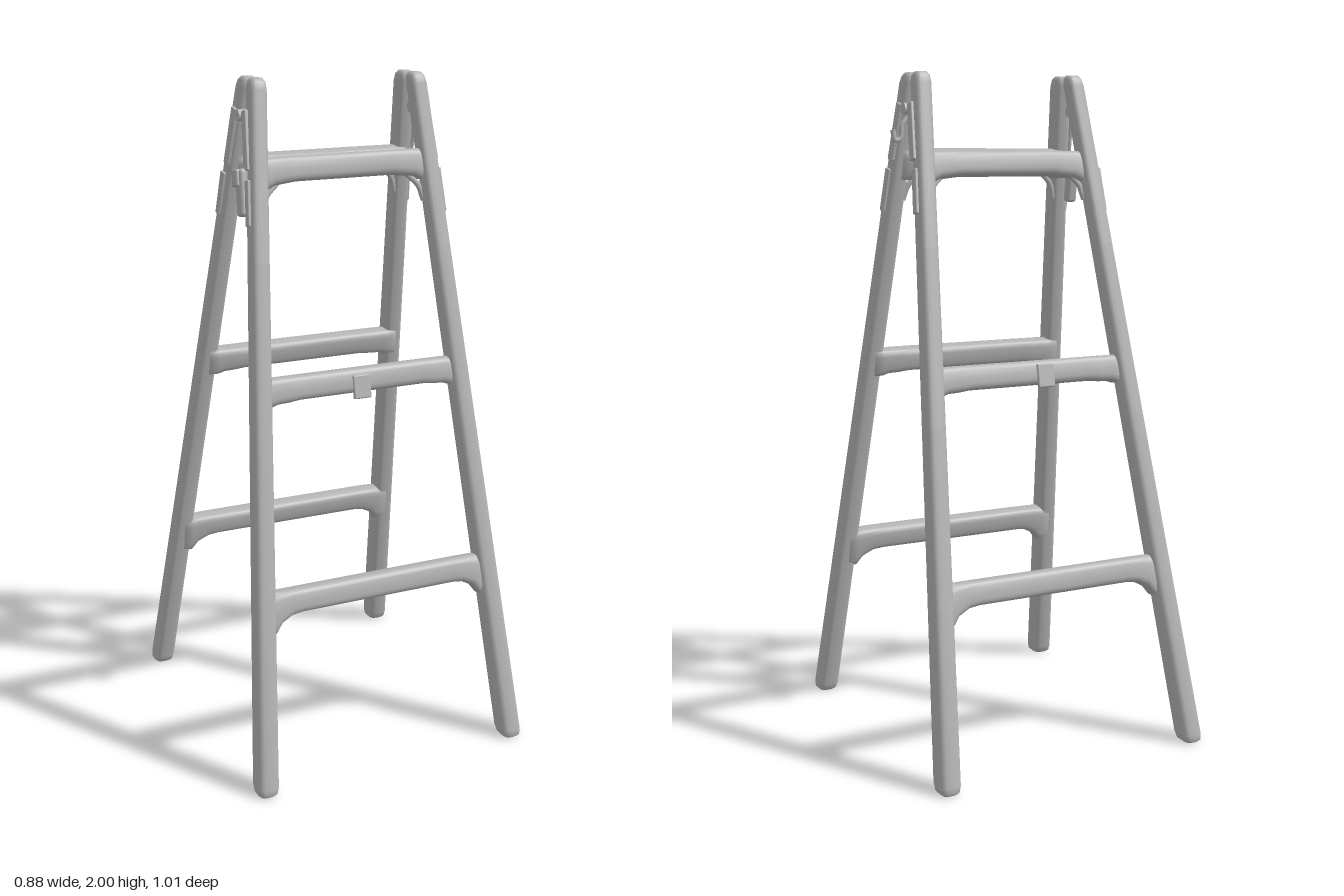
import * as THREE from 'three';
import { RoundedBoxGeometry } from 'three/addons/geometries/RoundedBoxGeometry.js';

const SIDES = 20;
const grey = new THREE.MeshStandardMaterial({ color: 0xb4b4b4 });
grey.name = 'worn grey';

// Smooth closed skin through rings of points; every ring is a rounded rectangle.
function loft(rings) {
  const pos = [], idx = [];
  const round = (t) => Math.sign(t) * Math.pow(Math.abs(t), 0.6);
  for (const { c, u, v } of rings) {
    for (let i = 0; i < SIDES; i++) {
      const a = (i / SIDES) * Math.PI * 2;
      const p = c.clone().addScaledVector(u, round(Math.cos(a))).addScaledVector(v, round(Math.sin(a)));
      pos.push(p.x, p.y, p.z);
    }
  }
  for (let r = 0; r < rings.length - 1; r++) {
    for (let i = 0; i < SIDES; i++) {
      const a = r * SIDES + i, b = r * SIDES + (i + 1) % SIDES;
      idx.push(a, b, a + SIDES, b, b + SIDES, a + SIDES);
    }
  }
  const last = (rings.length - 1) * SIDES;
  for (const [start, flip] of [[0, true], [last, false]]) {
    const c = rings[flip ? 0 : rings.length - 1].c;
    const mid = pos.length / 3;
    pos.push(c.x, c.y, c.z);
    for (let i = 0; i < SIDES; i++) {
      const a = start + i, b = start + (i + 1) % SIDES;
      flip ? idx.push(mid, b, a) : idx.push(mid, a, b);
    }
  }
  const g = new THREE.BufferGeometry();
  g.setAttribute('position', new THREE.Float32BufferAttribute(pos, 3));
  g.setIndex(idx);
  g.computeVertexNormals();
  return g;
}

const V = (x, y, z) => new THREE.Vector3(x, y, z);

// Centre line of a leg at height y; side is the sign of x, face the sign of z.
function legAt(side, face, y) {
  const t = y / 2;
  const x = side < 0 ? -0.412 + 0.177 * t : 0.408 - 0.138 * t;
  return V(x, y, face * (0.47 - 0.437 * t));
}

// Tapered leg with rounded foot and head
function legGeometry(side, face) {
  const stations = [[0, 0.7], [0.006, 0.9], [0.025, 1], [0.5, 1], [1, 1], [1.5, 1], [1.97, 1], [1.99, 0.88], [2, 0.6]];
  return loft(stations.map(([y, s]) => {
    const t = y / 2;
    return {
      c: legAt(side, face, y),
      u: V(0, 0, s * (0.039 - 0.009 * t)),
      v: V(s * (0.033 - 0.007 * t), 0, 0),
    };
  }));
}

// Rung leaning with its legs, thickened underneath where it joins them
function rungGeometry(face, y, z, flare) {
  const x0 = legAt(-1, face, y).x, x1 = legAt(1, face, y).x;
  const stations = [[0, flare], [0.03, flare], [0.05, flare * 0.45], [0.085, 0.004], [0.12, 0]];
  const full = [
    ...stations.map(([d, f]) => [x0 + d, f]),
    ...stations.map(([d, f]) => [x1 - d, f]).reverse(),
  ];
  const lean = 0.21 * face;
  return loft(full.map(([x, f]) => {
    const h = 0.036 + f / 2;
    return {
      c: V(x, y - f / 2, face * z + lean * f / 2),
      u: V(0, h, -lean * h),
      v: V(0, 0.2 * 0.03 * face, 0.031),
    };
  }));
}

export function createModel() {
  const model = new THREE.Group();
  model.name = 'stepladder';
  const add = (name, geometry, parent = model) => {
    const m = new THREE.Mesh(geometry, grey);
    m.name = name;
    parent.add(m);
    return m;
  };
  const block = (name, size, at, tilt = [0, 0, 0]) => {
    const m = add(name, new RoundedBoxGeometry(...size, 2, Math.min(...size) * 0.3));
    m.position.set(...at);
    m.rotation.set(...tilt);
    return m;
  };
  const tube = (name, radius, points) => add(name,
    new THREE.TubeGeometry(new THREE.CatmullRomCurve3(points.map((p) => V(...p))), 16, radius, 8));

  // Two leaning frames
  for (const face of [1, -1]) {
    const frame = new THREE.Group();
    frame.name = face > 0 ? 'frontFrame' : 'backFrame';
    model.add(frame);
    for (const side of [-1, 1]) add(side > 0 ? 'leftLeg' : 'rightLeg', legGeometry(side, face), frame);
    const drop = face > 0 ? 0 : 0.008;
    add('bottomRung', rungGeometry(face, 0.535 - drop, 0.346, 0.05), frame);
    add('middleRung', rungGeometry(face, 1.135 - drop, 0.21, 0.012), frame);
    add('topRung', rungGeometry(face, 1.745 - drop, 0.075, 0.018), frame);

    // Small clip on the middle rung
    block('rungClip', [0.055, 0.07, 0.014], [face > 0 ? 0 : -0.03, 1.122, face * 0.243], [-0.21 * face, 0, 0]);
  }

  // Hinge on each side: two straps on the outer leg faces and a pin between
  for (const side of [-1, 1]) {
    for (const face of [1, -1]) {
      const p = legAt(side, face, 1.83);
      block('hingeStrap', [0.012, 0.17, 0.03], [p.x + side * 0.029, 1.83, p.z - face * 0.012],
        [-0.25 * face, 0, side * 0.07]);
      const q = legAt(side, face, 1.66);
      block('legStrap', [0.01, 0.13, 0.026], [q.x + side * 0.03, 1.66, q.z], [-0.21 * face, 0, side * 0.07]);
      // Corner brace under the top rung
      tube('cornerBrace', 0.009, [
        [q.x - side * 0.02, 1.63, face * 0.095],
        [q.x - side * 0.036, 1.675, face * 0.088],
        [q.x - side * 0.075, 1.712, face * 0.08],
      ]);
    }
    const x = side < 0 ? -0.262 : 0.292;
    const pin = add('hingePin', new THREE.CylinderGeometry(0.017, 0.017, 0.04, 14));
    pin.position.set(x, 1.895, 0);
    pin.rotation.z = Math.PI / 2;
  }

  // Hook hanging from the left hinge
  tube('hingeHook', 0.008, [[0.29, 1.87, 0.004], [0.312, 1.85, 0.006], [0.318, 1.81, 0.008], [0.334, 1.805, 0.008], [0.341, 1.835, 0.008]]);
  tube('hingeTail', 0.008, [[0.285, 1.86, 0], [0.283, 1.82, 0.012], [0.278, 1.79, 0.01]]);

  // Latch plate on the right front leg
  block('latchPlate', [0.034, 0.135, 0.045], [-0.293, 1.685, 0.07], [-0.21, 0, -0.05]);
  block('latchLip', [0.022, 0.05, 0.04], [-0.306, 1.725, 0.055], [-0.21, 0, -0.05]);

  return model;
}
